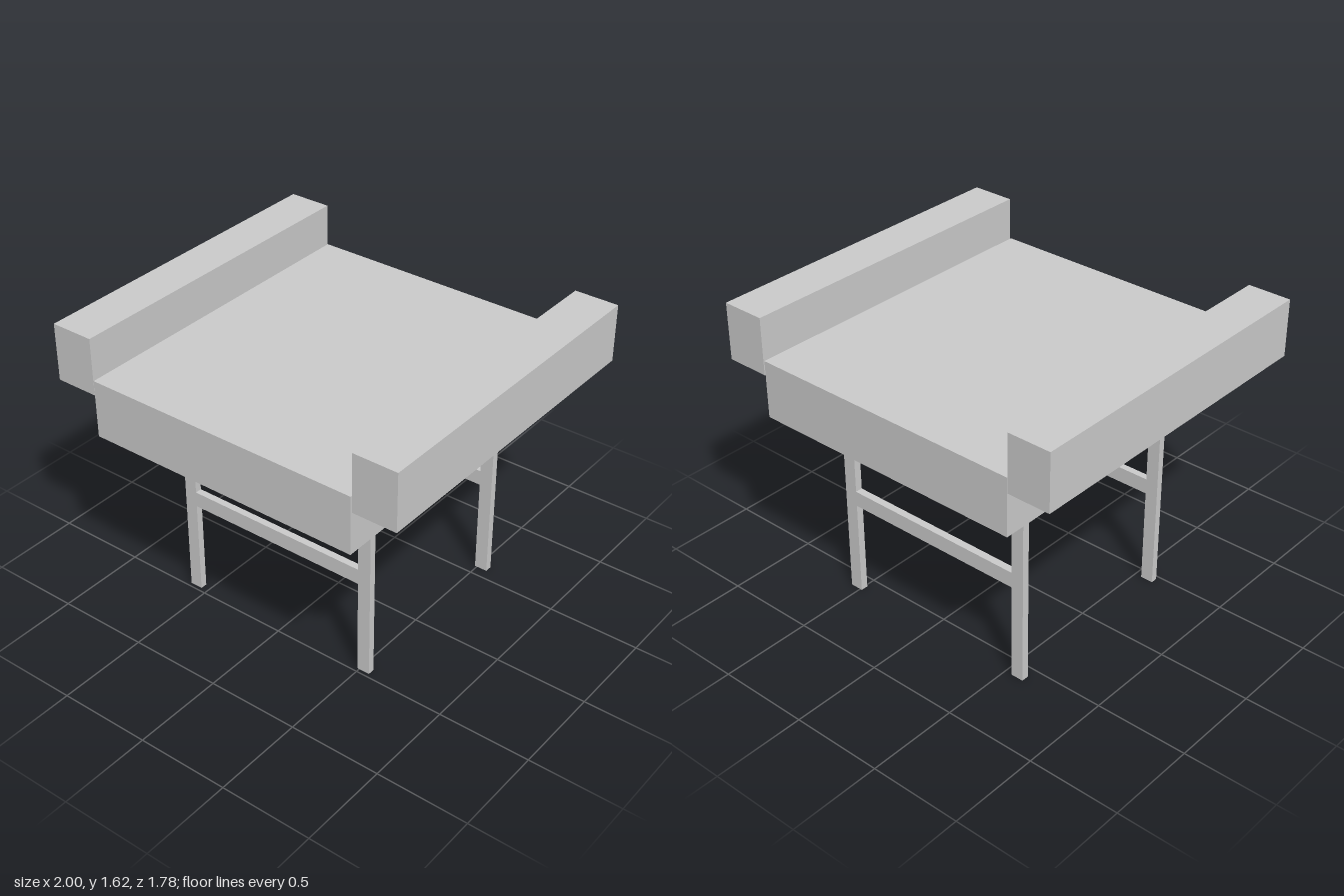
import * as THREE from 'three';

const material = new THREE.MeshStandardMaterial({ color: 0xcccccc, side: THREE.DoubleSide });

// Box given by its lower and upper corners
function block(name, [x0, y0, z0], [x1, y1, z1]) {
  const geometry = new THREE.BoxGeometry(x1 - x0, y1 - y0, z1 - z0);
  geometry.translate((x0 + x1) / 2, (y0 + y1) / 2, (z0 + z1) / 2);
  const mesh = new THREE.Mesh(geometry, material);
  mesh.name = name;
  return mesh;
}

// Hollow leg: a box without its top and bottom faces
function leg(name, from, to) {
  const mesh = block(name, from, to);
  const index = Array.from(mesh.geometry.index.array);
  index.splice(12, 12);
  mesh.geometry.setIndex(index);
  mesh.geometry.clearGroups();
  return mesh;
}

// Two legs joined by a crossbar
function legFrame(name, z0, z1) {
  const frame = new THREE.Group();
  frame.name = name;
  frame.add(
    leg('rightLeg', [-0.61, 0, z0], [-0.54, 1.07, z1]),
    leg('leftLeg', [0.488, 0, z0], [0.56, 1.07, z1]),
    block('crossbar', [-0.54, 0.53, z0], [0.488, 0.615, z1])
  );
  return frame;
}

export function createModel() {
  const model = new THREE.Group();
  model.name = 'bench';

  // Thick seat slab with a raised armrest along each side
  model.add(
    block('seat', [-0.765, 1.08, -0.89], [0.756, 1.39, 0.89]),
    block('rightArmrest', [-1, 1.31, -0.89], [-0.767, 1.617, 0.89]),
    block('leftArmrest', [0.763, 1.31, -0.89], [1, 1.617, 0.89])
  );

  // Leg frames at front and back
  model.add(legFrame('frontLegs', 0.441, 0.478), legFrame('backLegs', -0.6, -0.56));
  return model;
}
